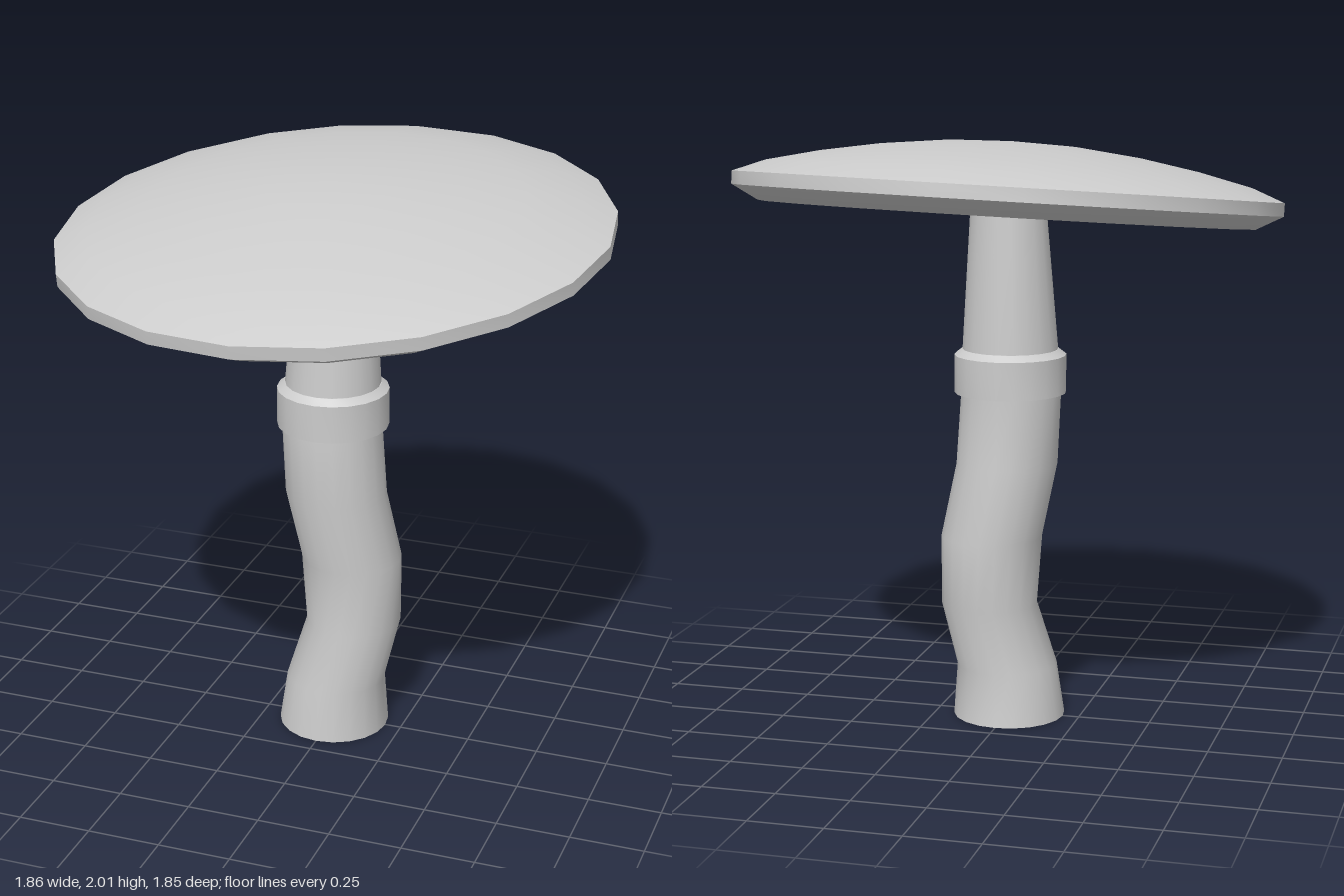
import * as THREE from 'three';
import { toCreasedNormals } from 'three/addons/utils/BufferGeometryUtils.js';

const SIDES = 20;

function lathe(profile) {
  const points = profile.map(([r, y]) => new THREE.Vector2(r, y));
  return toCreasedNormals(new THREE.LatheGeometry(points, SIDES), 0.6);
}

// Crooked stem: each row is [height, centre x, centre z, radius]
function stemGeometry() {
  const rings = [
    [0, 0, 0, 0.193],
    [0.18, 0.008, 0.002, 0.173],
    [0.4, 0.065, -0.022, 0.165],
    [0.64, 0.055, -0.027, 0.174],
    [0.89, 0.01, 0.008, 0.174],
    [1.14, -0.005, 0.007, 0.171],
    [1.29, -0.003, 0.003, 0.163],
    [1.79, 0.002, -0.004, 0.127],
  ];
  const last = rings.length - 1;
  const geometry = new THREE.CylinderGeometry(1, 1, last, SIDES, last);
  const pos = geometry.attributes.position;
  for (let i = 0; i < pos.count; i++) {
    const [y, cx, cz, r] = rings[Math.round(pos.getY(i) + last / 2)];
    pos.setXYZ(i, cx + pos.getX(i) * r, y, cz + pos.getZ(i) * r);
  }
  return toCreasedNormals(geometry, 0.7);
}

export function createModel() {
  const group = new THREE.Group();
  const material = new THREE.MeshStandardMaterial({ color: 0xcccccc });
  const add = (name, geometry) => {
    const mesh = new THREE.Mesh(geometry, material);
    mesh.name = name;
    group.add(mesh);
    return mesh;
  };

  add('stem', stemGeometry());

  // Collar around the stem, with a bevelled upper edge
  const collar = add('collar', lathe([[0.15, 1.14], [0.191, 1.14], [0.191, 1.27], [0.165, 1.29], [0.14, 1.29]]));
  collar.position.set(-0.003, 0, 0.003);

  // Shallow cap, tilted toward the front
  const cap = add('cap', lathe([
    [0, -0.04], [0.84, -0.07], [0.93, -0.022], [0.93, 0.022],
    [0.82, 0.065], [0.64, 0.107], [0.44, 0.142], [0.22, 0.167], [0, 0.175],
  ]));
  cap.position.y = 1.816;
  cap.rotation.set(0.106, 0, 0.033);

  return group;
}
